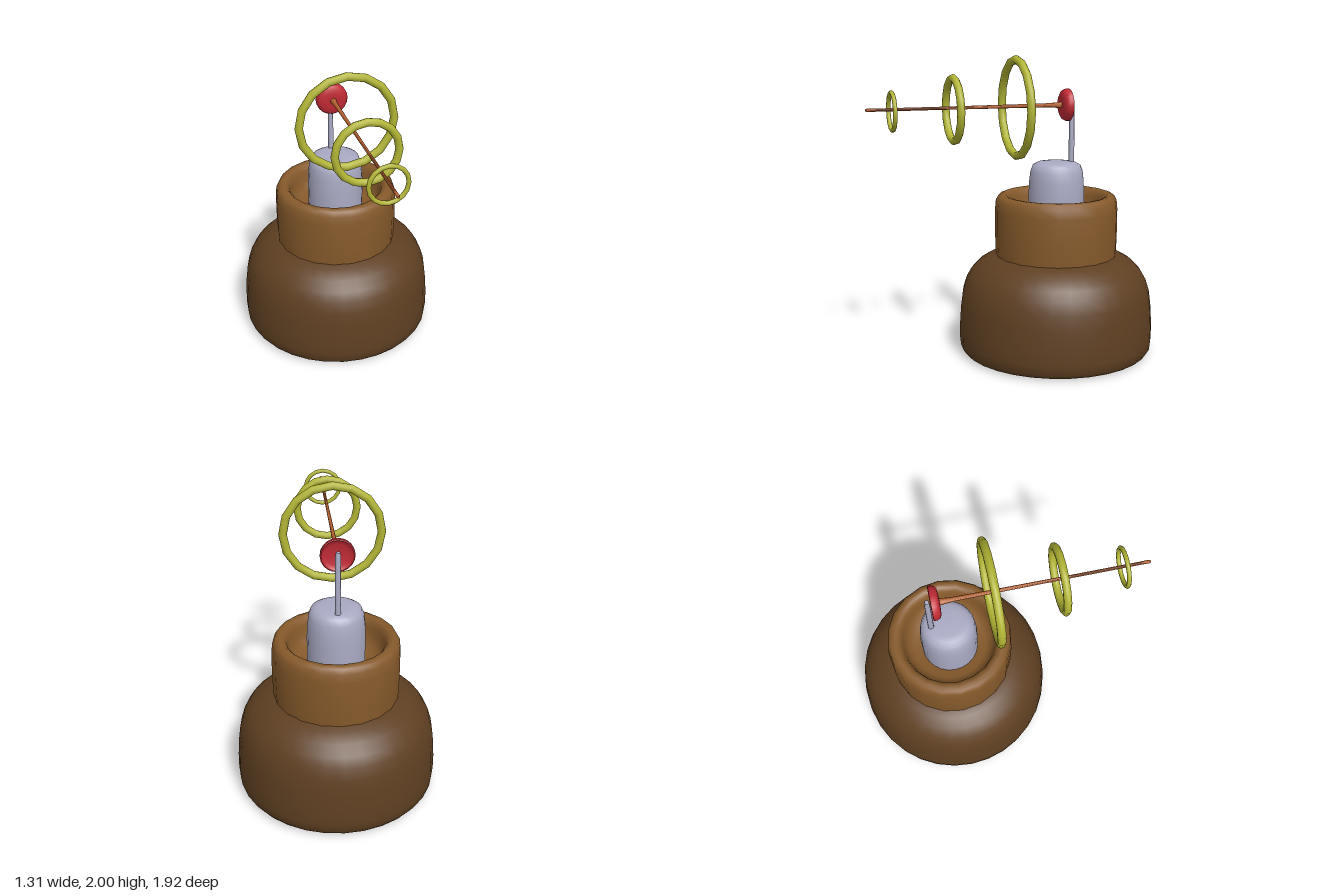
import * as THREE from 'three';
import { toCreasedNormals } from 'three/addons/utils/BufferGeometryUtils.js';

const material = (name, color) => {
  const m = new THREE.MeshStandardMaterial({ color });
  m.name = name;
  return m;
};

export function createModel() {
  const model = new THREE.Group();
  const darkBrown = material('dark brown', 0x5f4022);
  const brown = material('brown', 0x865a2b);
  const grey = material('lilac grey', 0xa9a9c3);
  const olive = material('yellow green', 0xb2b534);
  const red = material('red', 0xc02a35);
  const copper = material('copper', 0xb3602f);

  const AXIS_Z = -0.305; // centre of the round tiers
  const BEAM_Y = 1.673; // height of the rod

  const lathe = (name, profile, sides, mat) => {
    const points = profile.map(([r, h]) => new THREE.Vector2(r, h));
    const mesh = new THREE.Mesh(toCreasedNormals(new THREE.LatheGeometry(points, sides), 0.85), mat);
    mesh.name = name;
    model.add(mesh);
    return mesh;
  };

  // Stacked tiers
  lathe('base', [
    [0, 0], [0.59, 0.004], [0.63, 0.012], [0.65, 0.04], [0.657, 0.1], [0.656, 0.2], [0.648, 0.32],
    [0.635, 0.42], [0.61, 0.5], [0.575, 0.56], [0.52, 0.615], [0.45, 0.655], [0.38, 0.678], [0.3, 0.685], [0, 0.685],
  ], 32, darkBrown).position.z = AXIS_Z;

  // Middle tier with a hollow, rounded rim
  lathe('middleTier', [
    [0, 0.64], [0.405, 0.64], [0.41, 0.72], [0.413, 0.85], [0.412, 0.98], [0.406, 1.04], [0.39, 1.07],
    [0.365, 1.08], [0.34, 1.076], [0.32, 1.055], [0.31, 1.02], [0.3, 0.97], [0.275, 0.92], [0.24, 0.9], [0, 0.9],
  ], 20, brown).position.z = AXIS_Z;

  lathe('topTier', [
    [0, 0.86], [0.185, 0.86], [0.187, 1.08], [0.183, 1.17], [0.175, 1.235], [0.16, 1.275],
    [0.13, 1.292], [0.09, 1.297], [0, 1.297],
  ], 24, grey).position.z = AXIS_Z;

  // Post at the back
  lathe('post', [
    [0, 1.25], [0.019, 1.25], [0.019, 1.4], [0.017, 1.68], [0.013, 1.705], [0, 1.711],
  ], 12, grey).position.z = -0.41;

  // Dish, hollow at the back, and the rod that carries the rings
  const alongZ = (mesh) => {
    mesh.rotation.x = Math.PI / 2;
    mesh.position.y = BEAM_Y;
  };
  alongZ(lathe('dish', [
    [0, -0.372], [0.07, -0.374], [0.092, -0.381], [0.1, -0.39], [0.107, -0.387], [0.106, -0.365],
    [0.097, -0.347], [0.08, -0.337], [0.05, -0.334], [0, -0.333],
  ], 20, red));
  alongZ(lathe('rod', [
    [0, -0.37], [0.022, -0.37], [0.021, -0.325], [0.017, -0.29], [0.014, -0.24], [0.012, 0],
    [0.01, 0.5], [0.01, 0.9], [0.011, 0.95], [0.007, 0.96], [0, 0.96],
  ], 10, copper));

  // Three rings, shrinking toward the front: outer radius, tube radius, z
  [['largeRing', 0.34, 0.027, -0.02], ['mediumRing', 0.226, 0.025, 0.4], ['smallRing', 0.133, 0.014, 0.795]]
    .forEach(([name, outer, tube, z]) => {
      const ring = new THREE.Mesh(new THREE.TorusGeometry(outer - tube, tube, 10, 16), olive);
      ring.name = name;
      ring.position.set(0, 1.661, z);
      model.add(ring);
    });

  return model;
}
